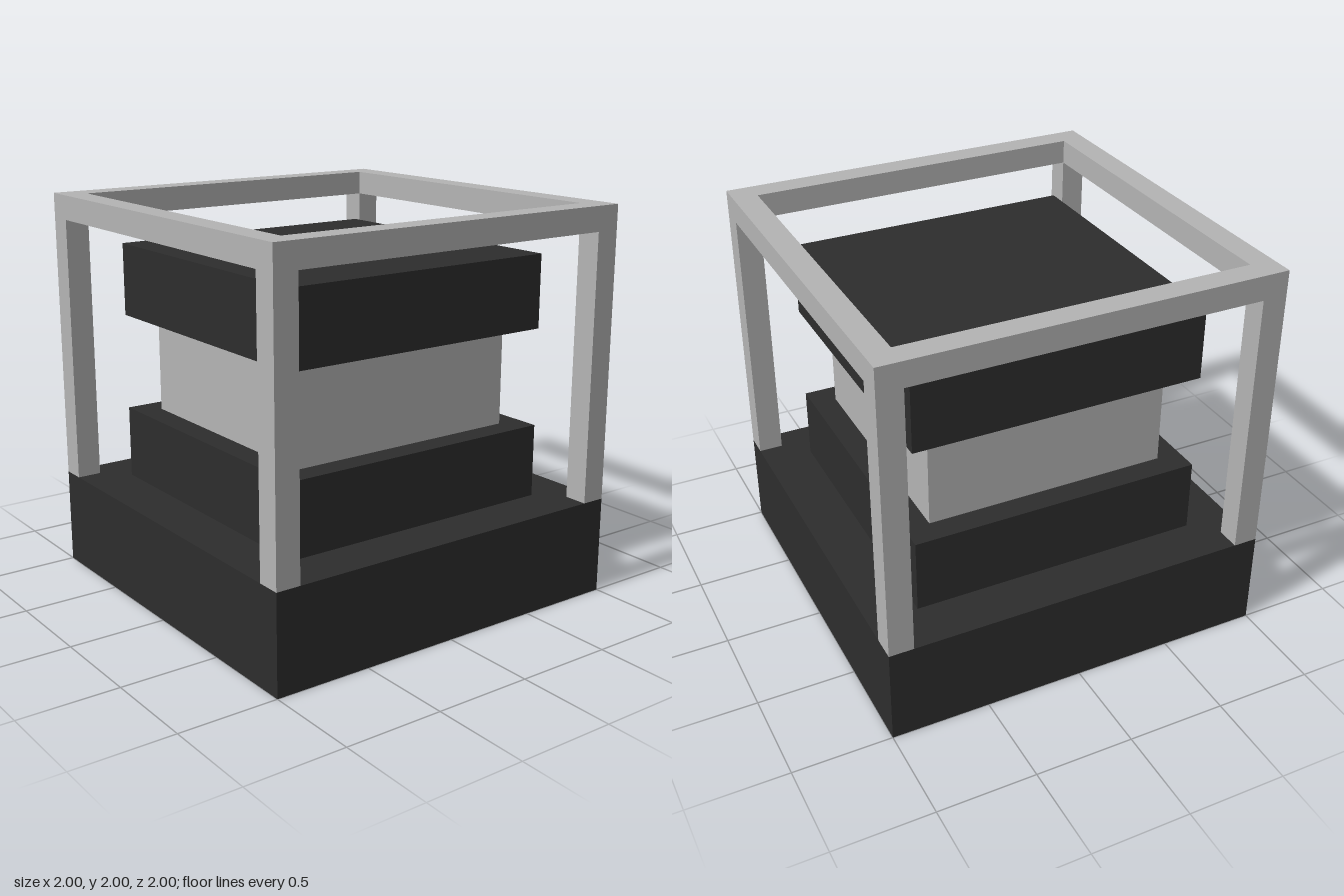
import * as THREE from 'three';

export function createModel() {
  const model = new THREE.Group();
  model.name = 'cagedPedestal';

  const charcoal = new THREE.MeshStandardMaterial({ color: 0x2d2d2d });
  charcoal.name = 'charcoal';
  const grey = new THREE.MeshStandardMaterial({ color: 0xb4b4b4 });
  grey.name = 'light grey';

  // Box resting on height y
  function box(parent, name, material, w, h, d, x, y, z) {
    const mesh = new THREE.Mesh(new THREE.BoxGeometry(w, h, d), material);
    mesh.name = name;
    mesh.position.set(x, y + h / 2, z);
    parent.add(mesh);
  }

  // Stacked central blocks
  box(model, 'base', charcoal, 2, 0.5, 2, 0, 0, 0);
  box(model, 'lowerBlock', charcoal, 1.5, 0.375, 1.5, 0, 0.5, 0);
  box(model, 'core', grey, 1.25, 0.5, 1.25, 0, 0.875, 0);
  box(model, 'upperBlock', charcoal, 1.5, 0.375, 1.5, 0, 1.375, 0);

  // Open frame: four corner posts carrying a square ring
  const frame = new THREE.Group();
  frame.name = 'frame';
  model.add(frame);
  const bar = 0.125;
  const edge = 1 - bar / 2;
  for (const x of [-edge, edge]) {
    for (const z of [-edge, edge]) {
      box(frame, 'cornerPost', grey, bar, 1.375, bar, x, 0.5, z);
    }
  }

  const square = new THREE.Shape([[-1, -1], [1, -1], [1, 1], [-1, 1]].map(([x, y]) => new THREE.Vector2(x, y)));
  const inner = 1 - bar;
  square.holes.push(new THREE.Path(
    [[-inner, -inner], [-inner, inner], [inner, inner], [inner, -inner]].map(([x, y]) => new THREE.Vector2(x, y))
  ));
  const ringGeometry = new THREE.ExtrudeGeometry(square, { depth: bar, bevelEnabled: false });
  ringGeometry.rotateX(-Math.PI / 2);
  const ring = new THREE.Mesh(ringGeometry, grey);
  ring.name = 'topRing';
  ring.position.y = 2 - bar;
  frame.add(ring);

  return model;
}
